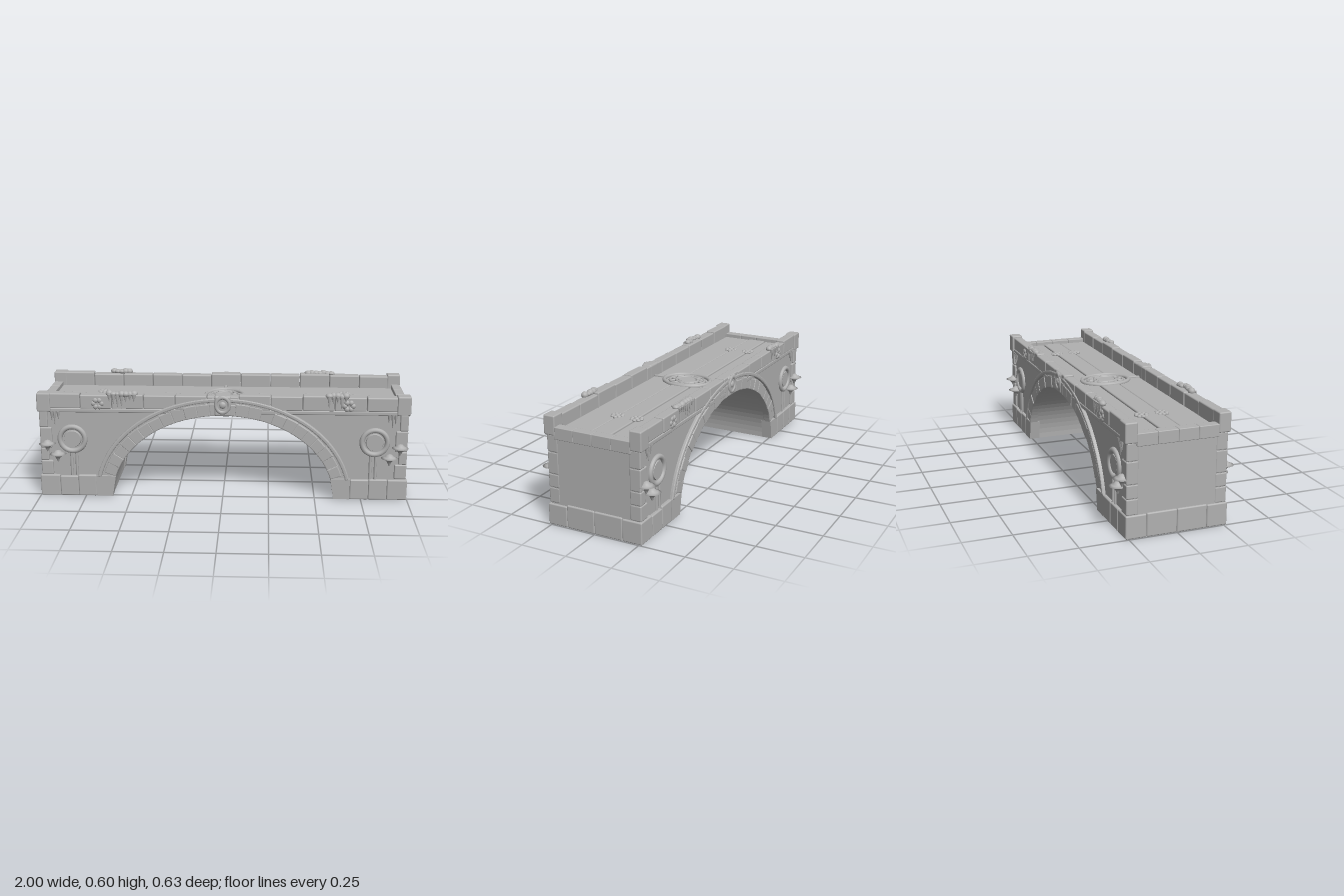
import * as THREE from 'three';
import { RoundedBoxGeometry } from 'three/addons/geometries/RoundedBoxGeometry.js';

const stone = new THREE.MeshStandardMaterial({ color: 0xb0b0b0 });
stone.name = 'grey stone';

const A = 0.605, B = 0.467; // arch half-width and rise

let seed = 7;
function rnd(a, b) {
  seed = (seed * 16807) % 2147483647;
  return a + (b - a) * (seed / 2147483647);
}

function add(parent, name, geometry, x = 0, y = 0, z = 0) {
  const mesh = new THREE.Mesh(geometry, stone);
  mesh.name = name;
  mesh.position.set(x, y, z);
  parent.add(mesh);
  return mesh;
}

// Worn block given by its limits
function block(parent, name, x0, x1, y0, y1, z0, z1, r = 0.007) {
  const g = new RoundedBoxGeometry(x1 - x0, y1 - y0, z1 - z0, 2, r);
  return add(parent, name, g, (x0 + x1) / 2, (y0 + y1) / 2, (z0 + z1) / 2);
}

// Point on the arch curve, pushed outwards by off
function archPoint(t, off) {
  const n = new THREE.Vector2(Math.cos(t) / A, Math.sin(t) / B).normalize();
  return new THREE.Vector2(A * Math.cos(t) + n.x * off, B * Math.sin(t) + n.y * off);
}

// Flat piece following the arch between two angles and two offsets
function archPiece(parent, name, t0, t1, o0, o1, z0, z1, steps, bevel) {
  const pts = [];
  for (let i = 0; i <= steps; i++) pts.push(archPoint(t0 + (t1 - t0) * i / steps, o0 + bevel));
  for (let i = steps; i >= 0; i--) pts.push(archPoint(t0 + (t1 - t0) * i / steps, o1 - bevel));
  const g = new THREE.ExtrudeGeometry(new THREE.Shape(pts), {
    depth: z1 - z0 - 2 * bevel, bevelEnabled: true, bevelSize: bevel, bevelThickness: bevel, bevelSegments: 2,
  });
  return add(parent, name, g, 0, 0, z0 + bevel);
}

function makeBody(group) {
  const pts = [new THREE.Vector2(0.988, 0), new THREE.Vector2(0.988, 0.49),
    new THREE.Vector2(-0.988, 0.49), new THREE.Vector2(-0.988, 0)];
  for (let i = 0; i <= 48; i++) pts.push(archPoint(Math.PI * (1 - i / 48), 0));
  add(group, 'body', new THREE.ExtrudeGeometry(new THREE.Shape(pts), { depth: 0.5, bevelEnabled: false }), 0, 0, -0.25);
}

function makeDeck(group) {
  const deck = new THREE.Group();
  deck.name = 'deck';
  group.add(deck);
  // Long slabs and the kerbs at both ends
  const seams = [-0.215, -0.06, 0.05, 0.215];
  for (let i = 0; i < 3; i++)
    block(deck, 'deckSlab', -0.95, 0.95, 0.46, 0.503 + (i === 1 ? 0.004 : 0), seams[i] + 0.002, seams[i + 1] - 0.002);
  for (const s of [-1, 1]) for (let i = 0; i < 4; i++) {
    const z = -0.212 + i * 0.106;
    block(deck, 'endKerb', s * 0.972 - 0.025, s * 0.972 + 0.025, 0.46, 0.524, z, z + 0.106, 0.004);
  }
  // Oval medallion in the middle
  const medallion = new THREE.Group();
  medallion.name = 'medallion';
  medallion.position.set(0, 0.506, 0.005);
  medallion.scale.set(0.8, 1, 1);
  deck.add(medallion);
  for (const [r, t] of [[0.132, 0.012], [0.1, 0.008], [0.062, 0.01]]) {
    const ring = add(medallion, 'medallionRing', new THREE.TorusGeometry(r, t, 8, 40));
    ring.rotation.x = Math.PI / 2;
  }
  add(medallion, 'medallionHub', new THREE.CylinderGeometry(0.05, 0.055, 0.014, 24));
  for (let i = 0; i < 12; i++) {
    const a = i * Math.PI / 6;
    const leaf = add(medallion, 'medallionLeaf', new THREE.SphereGeometry(1, 8, 6), 0.083 * Math.cos(a), 0, 0.083 * Math.sin(a));
    leaf.scale.set(0.018, 0.008, 0.008);
    leaf.rotation.y = -a;
  }
  for (const s of [-1, 1]) block(deck, 'crossRidge', -0.007, 0.007, 0.49, 0.512, s * 0.175 - 0.035, s * 0.175 + 0.035, 0.004);
  // Small rosettes
  for (const x of [-0.68, 0.67]) for (const z of [-0.06, 0.05]) {
    const rosette = new THREE.Group();
    rosette.name = 'rosette';
    rosette.position.set(x, 0.506, z);
    deck.add(rosette);
    for (let i = 0; i < 8; i++) {
      const a = i * Math.PI / 4;
      add(rosette, 'petal', new THREE.SphereGeometry(0.012, 8, 6), 0.026 * Math.cos(a), 0, 0.026 * Math.sin(a)).scale.y = 0.7;
    }
    add(rosette, 'rosetteCentre', new THREE.SphereGeometry(0.014, 10, 6)).scale.y = 0.7;
  }
}

const mushroomProfile = [[0.003, -0.042], [0.008, -0.03], [0.015, -0.016], [0.03, -0.006], [0.045, 0],
  [0.03, 0.005], [0.02, 0.012], [0.013, 0.02], [0, 0.023]].map(p => new THREE.Vector2(...p));

// Clump of moss on the parapet with drips down its face
function moss(side, x, width) {
  const clump = new THREE.Group();
  clump.name = 'moss';
  side.add(clump);
  for (let u = -width; u <= width; u += 0.022) {
    add(clump, 'mossTuft', new THREE.SphereGeometry(0.019, 10, 8), x + u, 0.578, rnd(0.245, 0.26)).scale.set(1.1, rnd(0.6, 1), 1);
    const len = rnd(0.03, 0.085);
    const drip = add(clump, 'mossDrip', new THREE.ConeGeometry(0.012, len, 8), x + u, 0.577 - len / 2, 0.267);
    drip.rotation.x = Math.PI;
    drip.scale.z = 0.6;
  }
}

// Everything on one long face; the other face is the same turned round
function makeSide() {
  const side = new THREE.Group();
  side.name = 'longSide';

  // Arch ring, its outer moulding and the keystone
  const t0 = 0.25, n = 24, dt = (Math.PI - 2 * t0) / n;
  for (let i = 0; i < n; i++)
    archPiece(side, 'archStone', t0 + i * dt + 0.005, t0 + (i + 1) * dt - 0.005, -0.003, rnd(0.06, 0.068), 0.22, rnd(0.262, 0.268), 2, 0.005);
  archPiece(side, 'archMoulding', 0.2, Math.PI - 0.2, 0.072, 0.094, 0.235, 0.268, 48, 0.006);
  block(side, 'keystone', -0.045, 0.045, 0.462, 0.575, 0.21, 0.272, 0.012);
  const boss = add(side, 'keystoneRing', new THREE.TorusGeometry(0.036, 0.01, 8, 24), 0, 0.525, 0.268);
  boss.scale.y = 1.15;
  add(side, 'keystoneBoss', new THREE.SphereGeometry(0.02, 12, 8), 0, 0.525, 0.268).scale.z = 0.6;

  // Parapet with cornice
  const count = 11, w = 1.87 / count;
  for (let i = 0; i < count; i++) {
    const x = -0.935 + i * w;
    block(side, 'parapetStone', x + 0.001, x + w - 0.001, 0.495, rnd(0.568, 0.579), rnd(0.207, 0.212), rnd(0.26, 0.266));
  }
  block(side, 'cornice', -0.94, 0.94, 0.474, 0.498, 0.21, 0.264, 0.006);

  for (const s of [-1, 1]) {
    const end = new THREE.Group();
    end.name = s > 0 ? 'leftEnd' : 'rightEnd';
    side.add(end);
    const span = (name, a, b, y0, y1, z0, z1) =>
      block(end, name, Math.min(s * a, s * b), Math.max(s * a, s * b), y0, y1, z0, z1);

    // Corner post and stacked corner stones
    span('cornerPost', 0.925, 0.998, 0.478, 0.58, 0.208, 0.272);
    const ys = [0.118, 0.2, 0.272, 0.388, 0.48];
    for (let i = 0; i < 4; i++)
      span('cornerStone', i % 2 ? 0.945 : 0.925, 0.99, ys[i], ys[i + 1], 0.2, 0.262);

    // Plinth along the face and half of the end
    const xs = [0.69, 0.79, 0.89, 0.998];
    for (let i = 0; i < 3; i++) span('plinthStone', xs[i], xs[i + 1], 0, rnd(0.112, 0.12), i === 2 ? 0.158 : 0.2, 0.267);
    span('endPlinthStone', 0.93, 0.998, 0, 0.122, 0, 0.158);
    const springer = new THREE.Shape([[0.603, 0], [0.69, 0], [0.69, 0.114], [0.584, 0.114]].map(p => new THREE.Vector2(s * p[0], p[1])));
    add(end, 'springer', new THREE.ExtrudeGeometry(springer, { depth: 0.06, bevelEnabled: false }), 0, 0, 0.205);

    // Ring emblem on a stem
    add(end, 'emblemRing', new THREE.TorusGeometry(0.068, 0.014, 10, 36), s * 0.815, 0.322, 0.252);
    const disc = add(end, 'emblemDisc', new THREE.CylinderGeometry(0.045, 0.05, 0.014, 28), s * 0.815, 0.322, 0.252);
    disc.rotation.x = Math.PI / 2;
    for (const o of [-0.014, 0.014])
      add(end, 'emblemStem', new THREE.CylinderGeometry(0.008, 0.008, 0.14, 8), s * 0.81 + o, 0.185, 0.252);

    // Shelf mushrooms
    for (const [x, y] of [[0.95, 0.297], [0.895, 0.24]])
      add(end, 'mushroom', new THREE.LatheGeometry(mushroomProfile, 20), s * x, y, 0.268);

    // Hanging drips under the cornice
    for (const [x, len] of [[0.885, 0.05], [0.905, 0.085], [0.92, 0.06]])
      add(end, 'drip', new THREE.ConeGeometry(0.01, len, 8), s * x, 0.478 - len / 2, 0.257).rotation.x = Math.PI;

    // Knot of leaves on the parapet face
    for (let i = 0; i < 6; i++) {
      const a = i * Math.PI / 3;
      add(end, 'knotLeaf', new THREE.SphereGeometry(0.015, 8, 6), s * 0.67 + 0.022 * Math.cos(a), 0.525 + 0.02 * Math.sin(a), 0.262).scale.z = 0.7;
    }
  }

  moss(side, -0.53, 0.075);
  moss(side, 0.61, 0.045);
  return side;
}

export function createModel() {
  const group = new THREE.Group();
  group.name = 'stoneBridge';
  makeBody(group);
  makeDeck(group);
  const front = makeSide();
  const back = makeSide();
  back.rotation.y = Math.PI;
  group.add(front, back);
  return group;
}
